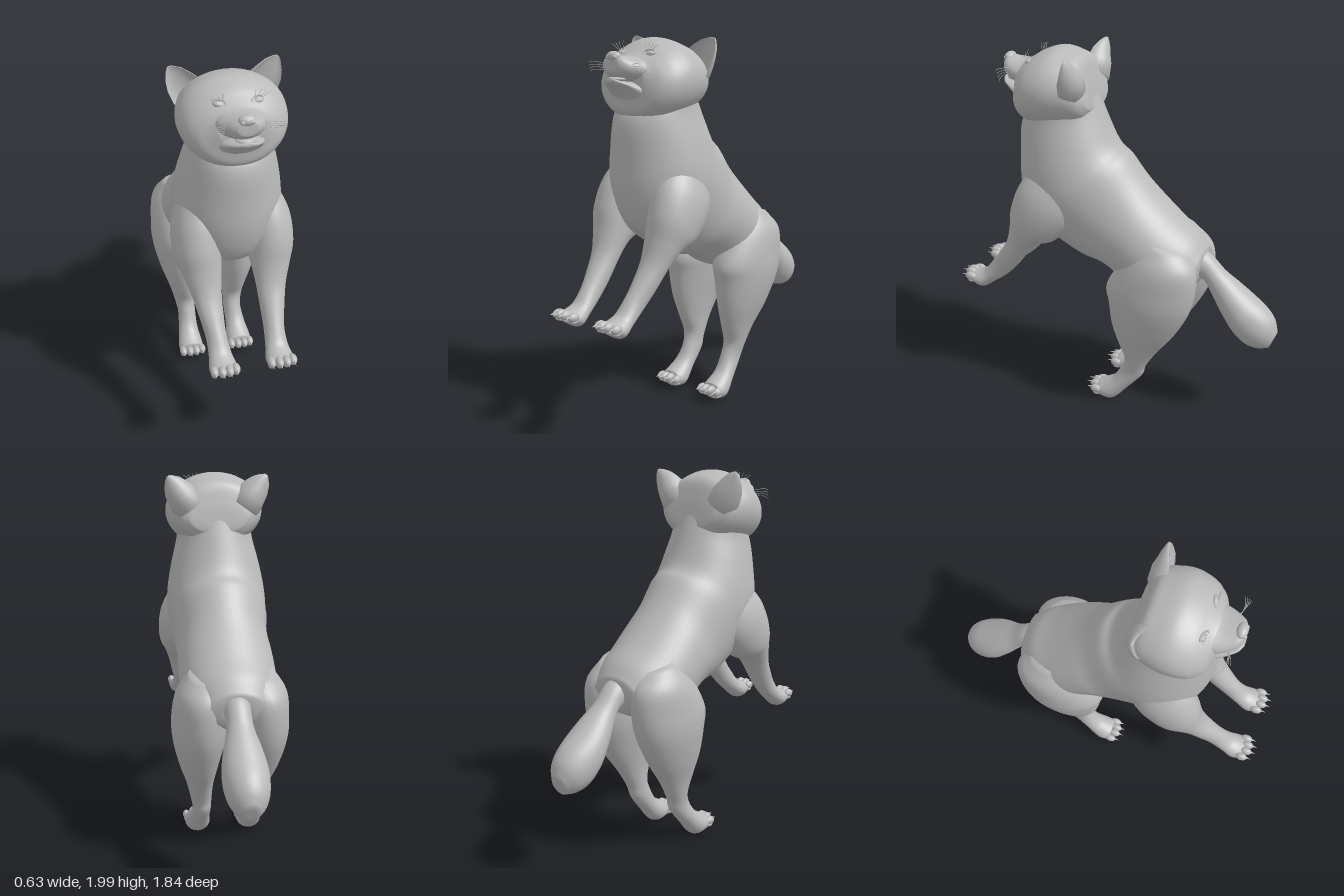
import * as THREE from 'three';

const fur = new THREE.MeshStandardMaterial({ color: 0xbababa });
fur.name = 'grey fur';

const V = (x, y, z) => new THREE.Vector3(x, y, z);

function add(parent, name, geometry) {
  const mesh = new THREE.Mesh(geometry, fur);
  mesh.name = name;
  parent.add(mesh);
  return mesh;
}

// Closed skin over equal-sized rings, with a pole at each end, wound outward
function skin(rings) {
  const n = rings[0].length, pts = rings.flat(), idx = [];
  const centre = r => r.reduce((s, p) => s.add(p), V(0, 0, 0)).divideScalar(n);
  for (let i = 0; i < rings.length - 1; i++) {
    for (let j = 0; j < n; j++) {
      const a = i * n + j, b = i * n + (j + 1) % n;
      idx.push(a, b, a + n, b, b + n, a + n);
    }
  }
  const last = (rings.length - 1) * n, p0 = pts.length;
  pts.push(centre(rings[0]), centre(rings[rings.length - 1]));
  for (let j = 0; j < n; j++) {
    const k = (j + 1) % n;
    idx.push(p0, k, j, p0 + 1, last + j, last + k);
  }
  let volume = 0;
  for (let i = 0; i < idx.length; i += 3) {
    volume += pts[idx[i]].dot(pts[idx[i + 1]].clone().cross(pts[idx[i + 2]]));
  }
  if (volume < 0) idx.reverse();
  const g = new THREE.BufferGeometry().setFromPoints(pts);
  g.setIndex(idx);
  g.computeVertexNormals();
  return g;
}

// Smooth loft through sections [z1, y1, z2, y2, halfWidth, centreX]:
// two outline points in side view and the width across them
function loft(sections, side = 1, n = 32, steps = 5) {
  const curve = f => new THREE.CatmullRomCurve3(sections.map(f), false, 'catmullrom', 0.5);
  const first = curve(s => V(0, s[1], s[0]));
  const second = curve(s => V(0, s[3], s[2]));
  const width = curve(s => V(s[4], s[5] || 0, 0));
  const rings = [], total = (sections.length - 1) * steps;
  const ring = (t, scale) => {
    const a = first.getPoint(t), b = second.getPoint(t), w = width.getPoint(t);
    const mid = a.clone().add(b).multiplyScalar(0.5);
    const half = a.sub(b).multiplyScalar(0.5 * scale);
    return Array.from({ length: n }, (_, j) => {
      const ang = j / n * Math.PI * 2;
      return V(side * (w.y + Math.sin(ang) * w.x * scale), 0, 0)
        .add(mid).addScaledVector(half, Math.cos(ang));
    });
  };
  rings.push(ring(0, 0.5));
  for (let i = 0; i <= total; i++) rings.push(ring(i / total, 1));
  rings.push(ring(1, 0.5));
  return skin(rings);
}

function ball(parent, name, x, y, z, sx, sy, sz) {
  const m = add(parent, name, new THREE.SphereGeometry(1, 16, 12));
  m.position.set(x, y, z);
  m.scale.set(sx, sy, sz);
  return m;
}

// Thin hair along a gentle curve
function hair(parent, name, a, b, c) {
  add(parent, name, new THREE.TubeGeometry(new THREE.QuadraticBezierCurve3(a, b, c), 6, 0.0013, 4));
}

const torso = [
  [-0.50, 0.98, -0.47, 0.80, 0.14], [-0.44, 1.06, -0.27, 0.72, 0.22],
  [-0.34, 1.14, -0.10, 0.74, 0.255], [-0.21, 1.26, 0.06, 0.83, 0.255],
  [-0.13, 1.35, 0.20, 0.86, 0.25], [-0.05, 1.45, 0.37, 0.95, 0.265],
  [0.00, 1.485, 0.50, 1.06, 0.275], [0.03, 1.52, 0.555, 1.23, 0.268],
  [0.06, 1.58, 0.56, 1.42, 0.245], [0.10, 1.68, 0.55, 1.59, 0.212],
  [0.14, 1.78, 0.48, 1.70, 0.20],
];
const head = [
  [0.15, 1.84, 0.12, 1.70, 0.15], [0.19, 1.95, 0.16, 1.64, 0.22],
  [0.26, 1.985, 0.25, 1.605, 0.255], [0.34, 2.00, 0.36, 1.585, 0.268],
  [0.42, 1.975, 0.47, 1.59, 0.25], [0.47, 1.945, 0.54, 1.63, 0.205],
  [0.51, 1.922, 0.555, 1.69, 0.15], [0.54, 1.91, 0.56, 1.75, 0.11],
];
const muzzle = [
  [0.48, 1.92, 0.50, 1.78, 0.13], [0.54, 1.915, 0.56, 1.79, 0.118],
  [0.59, 1.92, 0.605, 1.805, 0.096], [0.625, 1.925, 0.635, 1.825, 0.072],
  [0.645, 1.915, 0.65, 1.845, 0.045],
];
const jaw = [
  [0.48, 1.80, 0.52, 1.66, 0.13], [0.55, 1.795, 0.568, 1.715, 0.105],
  [0.61, 1.80, 0.615, 1.76, 0.078], [0.64, 1.808, 0.645, 1.778, 0.055],
  [0.658, 1.812, 0.66, 1.795, 0.025],
];
const tail = [
  [-0.44, 1.00, -0.42, 0.85, 0.08], [-0.52, 0.96, -0.50, 0.81, 0.066],
  [-0.60, 0.88, -0.545, 0.74, 0.074], [-0.68, 0.82, -0.60, 0.65, 0.10],
  [-0.76, 0.76, -0.67, 0.55, 0.118], [-0.84, 0.70, -0.74, 0.485, 0.112],
  [-0.89, 0.64, -0.81, 0.465, 0.088], [-0.912, 0.57, -0.87, 0.472, 0.045],
];
const foreleg = [
  [0.38, 1.42, 0.12, 1.28, 0.09, 0.15], [0.49, 1.30, 0.18, 1.11, 0.13, 0.175],
  [0.55, 1.16, 0.30, 0.98, 0.122, 0.188], [0.572, 1.03, 0.40, 0.94, 0.10, 0.18],
  [0.605, 0.92, 0.47, 0.875, 0.078, 0.17], [0.67, 0.82, 0.55, 0.77, 0.062, 0.16],
  [0.72, 0.755, 0.63, 0.685, 0.053, 0.152], [0.77, 0.695, 0.715, 0.62, 0.058, 0.148],
  [0.81, 0.675, 0.785, 0.575, 0.07, 0.147], [0.855, 0.665, 0.84, 0.60, 0.066, 0.147],
];
const hindleg = [
  [-0.20, 1.08, -0.41, 1.02, 0.09, 0.13], [-0.10, 0.95, -0.485, 0.93, 0.135, 0.155],
  [0.00, 0.78, -0.495, 0.81, 0.146, 0.164], [-0.01, 0.68, -0.465, 0.67, 0.14, 0.167],
  [-0.025, 0.54, -0.38, 0.51, 0.108, 0.165], [-0.06, 0.41, -0.285, 0.38, 0.075, 0.155],
  [-0.095, 0.31, -0.218, 0.27, 0.058, 0.146], [-0.07, 0.23, -0.195, 0.20, 0.051, 0.14],
  [-0.03, 0.165, -0.11, 0.10, 0.056, 0.145], [0.02, 0.13, -0.03, 0.015, 0.07, 0.147],
  [0.06, 0.11, 0.045, 0.02, 0.068, 0.147],
];

// Four toes with claws across the front of a paw, pads beneath
function toes(parent, side, y, z) {
  for (let i = 0; i < 4; i++) {
    const off = (i - 1.5) * 0.037, inner = i === 1 || i === 2;
    const x = side * 0.147 + off, zz = z + (inner ? 0.012 : -0.004), yy = y + (inner ? 0.008 : 0);
    ball(parent, 'toe', x, yy, zz, 0.021, 0.024, 0.034);
    ball(parent, 'toePad', x, yy - 0.022, zz - 0.003, 0.016, 0.014, 0.022);
    const claw = add(parent, 'claw', new THREE.ConeGeometry(0.007, 0.036, 8));
    claw.position.set(x, yy + 0.006, zz + 0.04);
    claw.rotation.x = Math.PI / 2 + 0.1;
  }
}

// Cupped ear: rings [x, y, rimZ, halfWidth, depth] with a hollow front
function ear(side) {
  const rows = [[0.15, 1.82, 0.23, 0.095, 0.10], [0.19, 1.885, 0.23, 0.085, 0.095],
    [0.22, 1.925, 0.222, 0.072, 0.07], [0.243, 1.96, 0.208, 0.052, 0.045],
    [0.26, 1.985, 0.195, 0.026, 0.02], [0.268, 1.996, 0.188, 0.008, 0.006]];
  return skin(rows.map(([x, y, z, w, d]) => Array.from({ length: 28 }, (_, j) => {
    const a = j / 28 * Math.PI * 2, s = Math.sin(a), c = Math.cos(a);
    return V(side * (x + 0.81 * w * c), y - 0.58 * w * c, z - d * (s > 0 ? s : -0.55 * s) + (s < 0 ? 0.006 : 0));
  })));
}

export function createModel() {
  const model = new THREE.Group();
  model.name = 'rearingDog';
  add(model, 'torso', loft(torso, 1, 48));
  add(model, 'tail', loft(tail));

  const face = new THREE.Group();
  face.name = 'face';
  model.add(face);
  add(face, 'head', loft(head, 1, 48));
  add(face, 'muzzle', loft(muzzle));
  add(face, 'lowerJaw', loft(jaw));
  ball(face, 'nose', 0, 1.915, 0.628, 0.043, 0.026, 0.028);
  ball(face, 'tongue', 0, 1.808, 0.60, 0.05, 0.012, 0.045);

  for (const side of [1, -1]) {
    const label = side > 0 ? 'left' : 'right';
    add(face, label + 'Ear', ear(side));
    const eye = ball(face, label + 'Eye', side * 0.09, 1.922, 0.468, 0.03, 0.017, 0.02);
    eye.rotation.z = side * 0.25;
    const lid = add(face, label + 'Eyelid', new THREE.TorusGeometry(0.03, 0.005, 8, 24));
    lid.scale.y = 0.55;
    lid.position.set(side * 0.09, 1.93, 0.474);
    lid.rotation.set(-0.6, side * 0.25, side * 0.25);
    ball(face, label + 'Nostril', side * 0.022, 1.912, 0.645, 0.014, 0.011, 0.01);

    // Lashes and whiskers
    for (let i = 0; i < 4; i++) {
      const x = 0.075 + i * 0.014;
      hair(face, 'eyelash', V(side * x, 1.94, 0.475), V(side * (x + 0.005 * i), 1.965, 0.49),
        V(side * (x + 0.012 * i), 1.985 - 0.006 * i, 0.48));
      hair(face, 'whisker', V(side * 0.08, 1.84 + i * 0.012, 0.59),
        V(side * 0.14, 1.86 + i * 0.01, 0.62), V(side * (0.2 - i * 0.01), 1.835 + i * 0.016, 0.59 + i * 0.012));
    }

    const front = new THREE.Group(), hind = new THREE.Group();
    front.name = label + 'Foreleg';
    hind.name = label + 'HindLeg';
    model.add(front, hind);
    add(front, 'foreleg', loft(foreleg, side));
    toes(front, side, 0.645, 0.855);
    add(hind, 'hindLeg', loft(hindleg, side));
    toes(hind, side, 0.075, 0.068);
  }
  return model;
}
